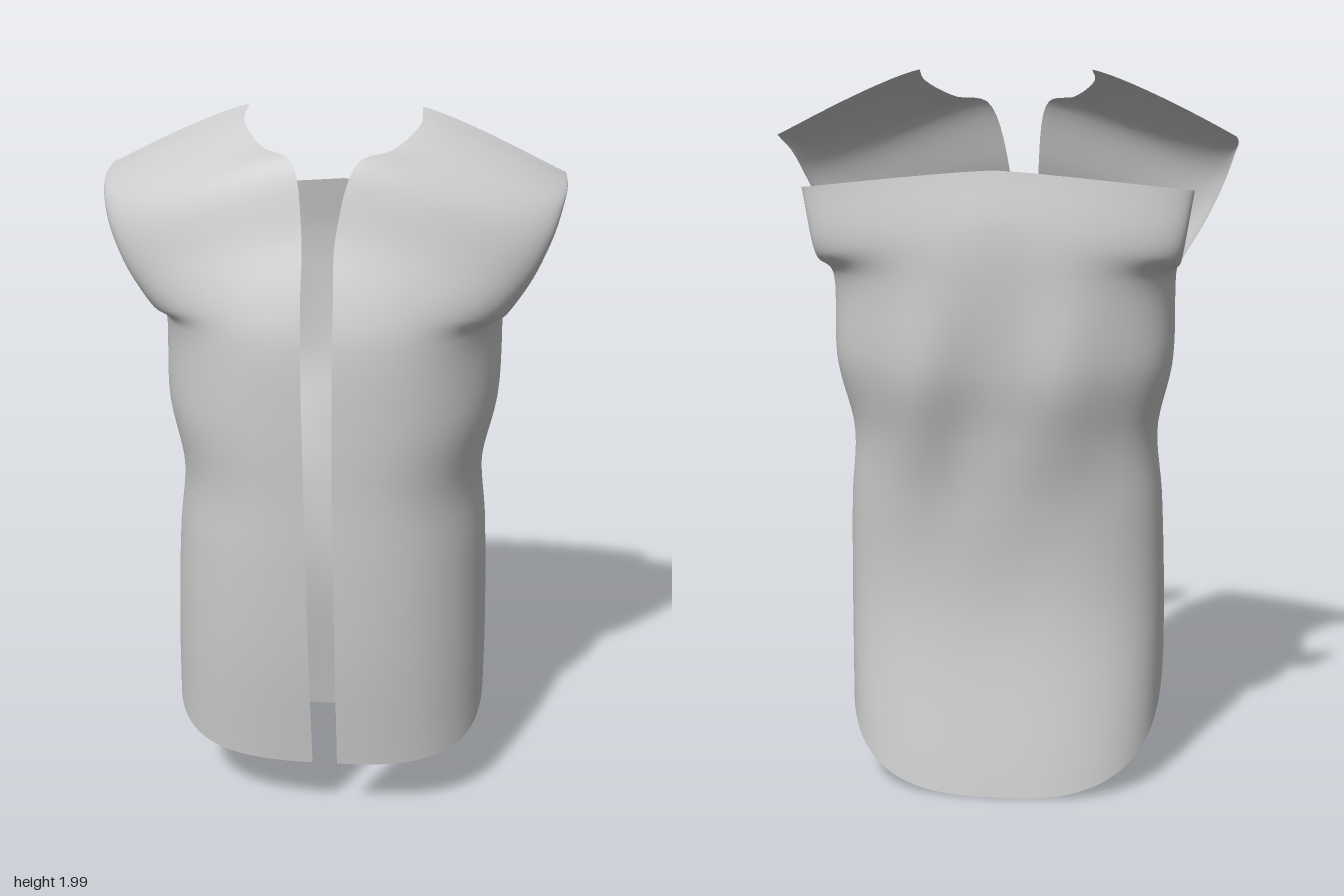
import * as THREE from 'three';

const material = new THREE.MeshStandardMaterial({ color: 0xcccccc, side: THREE.DoubleSide });
const V = (x, y, z) => new THREE.Vector3(x, y, z);

// Side seam from hem to armhole, shared by front and back
const sideSeam = [
  V(.45, .32, .02), V(.45, .5, -.01), V(.44, .8, -.04),
  V(.425, 1, -.06), V(.465, 1.2, -.08), V(.47, 1.44, -.09),
];
// Front armhole up to the shoulder point
const frontArmhole = [
  V(.485, 1.47, .055), V(.545, 1.57, .1), V(.595, 1.68, .085),
  V(.62, 1.755, .03), V(.63, 1.79, -.04), V(.625, 1.81, -.12),
];
const backArmhole = [V(.49, 1.5, -.25), V(.52, 1.68, -.28)];

// Opening edge from hem to collar, then the neckline
const frontEdge = [
  V(.045, .18, .32), V(.042, .5, .355), V(.038, .8, .37), V(.035, 1, .372),
  V(.035, 1.2, .375), V(.035, 1.44, .365), V(.035, 1.56, .335), V(.035, 1.71, .275),
  V(.085, 1.89, .21), V(.17, 1.91, .13), V(.235, 1.955, .01), V(.235, 1.985, -.08),
];
// The other opening edge slants outward towards the collar
const rightFrontEdge = frontEdge.map((p, i) => (i < 8 ? V(.022 + .018 * p.y, p.y, p.z) : p));
// Spine line of the back
const spine = [
  V(0, 0, -.34), V(0, .5, -.26), V(0, .8, -.27), V(0, 1, -.3),
  V(0, 1.2, -.345), V(0, 1.44, -.36), V(0, 1.58, -.355), V(0, 1.73, -.33),
];

// Point on a rounded quarter section between inner edge a and outer edge b
function sectionPoint(a, b, t, roundness, hemCurve, isBody) {
  const s = Math.sin(t * Math.PI / 2) ** (2 / roundness);
  const c = Math.cos(t * Math.PI / 2) ** (2 / roundness);
  const rise = isBody ? (1 - c) ** hemCurve : s ** 1.2;
  return V(a.x + (b.x - a.x) * s, a.y + (b.y - a.y) * rise, b.z + (a.z - b.z) * c);
}

// Smooth cloth patch; u runs across from u0 to u1, negative u being the right side
function cloth(name, { inner, outer, u0, u1, roundness, hemCurve, fold }) {
  const nu = 48, nv = 64;
  const geometry = new THREE.PlaneGeometry(1, 1, nu, nv);
  const pos = geometry.attributes.position;
  for (let i = 0; i <= nu; i++) {
    const u = u0 + (u1 - u0) * i / nu;
    const side = u < 0 || (u === 0 && u0 < 0) ? -1 : 1;
    const column = new THREE.CatmullRomCurve3(inner.map((a, k) =>
      sectionPoint(a, outer[k], Math.abs(u), roundness, hemCurve, k < sideSeam.length)));
    for (let j = 0; j <= nv; j++) {
      const p = column.getPoint(1 - j / nv);
      p.x *= side;
      if (fold) fold(p);
      pos.setXYZ(j * (nu + 1) + i, p.x, p.y, p.z);
    }
  }
  geometry.computeVertexNormals();
  const mesh = new THREE.Mesh(geometry, material);
  mesh.name = name;
  return mesh;
}

const bell = (d, width) => Math.exp(-((d / width) ** 2));

// Shoulder blades, a small pleat at the top seam and slanting drape folds
function backFolds(p) {
  const blades = bell(p.y - 1.1, .25) * bell(Math.abs(p.x) - .2, .1);
  const pleat = bell(p.y - 1.73, .13) * (bell(p.x - .05, .02) + bell(p.x + .05, .02));
  const drape = bell(p.y - 1.05, .35) * bell(p.x, .25);
  p.z += .01 * pleat - .025 * blades + .01 * drape * Math.sin(16 * (p.x + .35 * (p.y - 1)));
}

export function createModel() {
  const shirt = new THREE.Group();
  shirt.name = 'shirtBody';
  const front = { outer: [...sideSeam, ...frontArmhole], roundness: 2.35, hemCurve: 1.7 };
  shirt.add(
    cloth('leftFrontPanel', { ...front, inner: frontEdge, u0: 0, u1: 1 }),
    cloth('rightFrontPanel', { ...front, inner: rightFrontEdge, u0: -1, u1: 0 }),
    cloth('backPanel', {
      inner: spine, outer: [...sideSeam, ...backArmhole], u0: 1, u1: -1,
      roundness: 2.8, hemCurve: 1, fold: backFolds,
    }),
  );
  return shirt;
}
